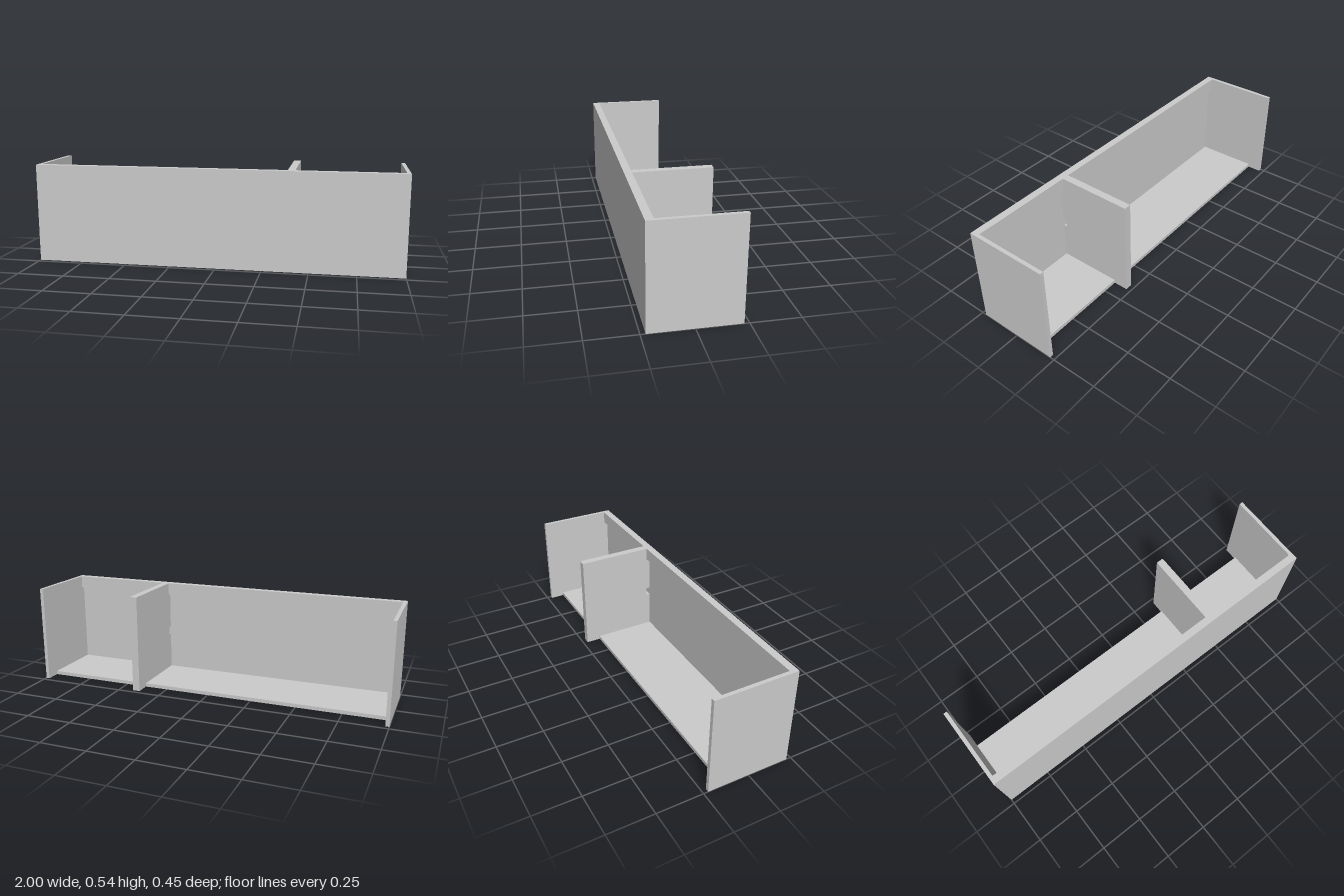
import * as THREE from 'three';

const W = 2, H = 0.54, D = 0.45, T = 0.02; // overall size and board thickness
const FRONT = D / 2 - T;                   // inner face of the front panel
const DIVIDER = 0.4;                       // centre of the double divider

export function createModel() {
  const group = new THREE.Group();
  const material = new THREE.MeshStandardMaterial({ color: 0xcccccc });

  // Box given by its minimum and maximum on each axis
  function board(name, [x0, x1], [y0, y1], [z0, z1]) {
    const geometry = new THREE.BoxGeometry(x1 - x0, y1 - y0, z1 - z0);
    geometry.translate((x0 + x1) / 2, (y0 + y1) / 2, (z0 + z1) / 2);
    const mesh = new THREE.Mesh(geometry, material);
    mesh.name = name;
    group.add(mesh);
  }

  // Front and end panels
  board('frontPanel', [-W / 2, W / 2], [0, H], [FRONT, D / 2]);
  board('rightEndPanel', [-W / 2, -W / 2 + T], [0, H], [-D / 2, FRONT]);
  board('leftEndPanel', [W / 2 - T, W / 2], [0, H], [-D / 2, FRONT]);

  // Bottom shelf and top rail in each bay
  const bays = [
    ['wideBay', -W / 2 + T, DIVIDER - T],
    ['narrowBay', DIVIDER + T, W / 2 - T],
  ];
  for (const [bay, x0, x1] of bays) {
    board(bay + 'Shelf', [x0, x1], [0, T], [-0.145, FRONT]);
    board(bay + 'Rail', [x0, x1], [H - 0.07, H], [FRONT - T, FRONT]);
  }

  // Divider with a cable notch in its front edge; profile drawn in (-z, y)
  const profile = new THREE.Shape([
    [-FRONT, 0], [D / 2, 0], [D / 2, H], [-FRONT, H],
    [-FRONT, 0.27], [-FRONT + T, 0.27], [-FRONT + T, 0.225], [-FRONT, 0.225],
  ].map(([u, v]) => new THREE.Vector2(u, v)));
  const geometry = new THREE.ExtrudeGeometry(profile, { depth: 2 * T, bevelEnabled: false });
  geometry.rotateY(Math.PI / 2);
  geometry.translate(DIVIDER - T, 0, 0);
  const divider = new THREE.Mesh(geometry, material);
  divider.name = 'divider';
  group.add(divider);

  return group;
}
